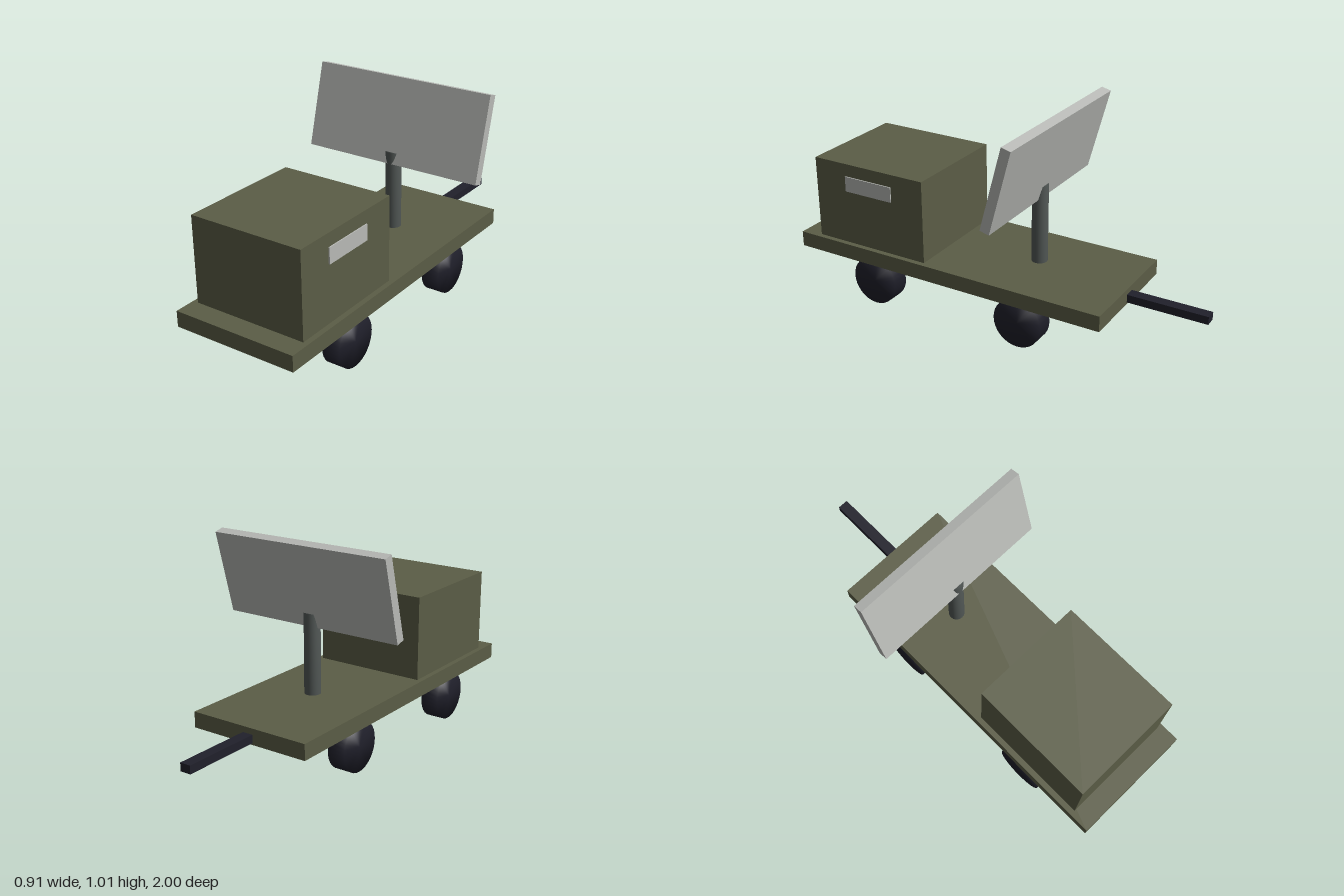
import * as THREE from 'three';
import { mergeVertices } from 'three/addons/utils/BufferGeometryUtils.js';

const paint = (name, color) => {
  const m = new THREE.MeshStandardMaterial({ color });
  m.name = name;
  return m;
};

// Cylinder whose normals run smoothly over the rim
function softCylinder(radius, length) {
  const g = new THREE.CylinderGeometry(radius, radius, length, 32);
  g.deleteAttribute('uv');
  g.deleteAttribute('normal');
  const soft = mergeVertices(g);
  soft.computeVertexNormals();
  return soft;
}

export function createModel() {
  const model = new THREE.Group();
  model.name = 'panelTrailer';
  const olive = paint('olive', 0x5b5d46);
  const black = paint('rubberBlack', 0x20202b);
  const lightGrey = paint('lightGrey', 0xb8bab6);
  const steel = paint('steelGrey', 0x525856);

  const add = (name, geometry, material, x, y, z) => {
    const mesh = new THREE.Mesh(geometry, material);
    mesh.name = name;
    mesh.position.set(x, y, z);
    model.add(mesh);
    return mesh;
  };
  const box = (name, material, w, h, d, x, y, z) =>
    add(name, new THREE.BoxGeometry(w, h, d), material, x, y, z);

  // Flat bed, equipment cabinet and drawbar
  box('deck', olive, 0.606, 0.075, 1.62, 0, 0.2405, 0.19);
  box('cabinet', olive, 0.555, 0.405, 0.607, 0, 0.48, 0.5965);
  box('drawbar', black, 0.052, 0.038, 0.4, 0, 0.231, -0.8);

  // Thin plate on the left side of the cabinet
  box('sidePlate', lightGrey, 0.008, 0.075, 0.26, 0.279, 0.583, 0.595);

  // Four wheels
  const wheelGeometry = softCylinder(0.119, 0.088).rotateZ(Math.PI / 2);
  for (const z of [0.572, -0.213]) {
    for (const side of [-1, 1]) add('wheel', wheelGeometry, black, side * 0.252, 0.119, z);
  }

  // Post carrying the panel, which leans backwards
  add('post', softCylinder(0.038, 0.38), steel, 0, 0.483, -0.163);
  const panel = box('panel', lightGrey, 0.912, 0.405, 0.047, 0, 0.81, -0.2015);
  panel.rotation.x = -THREE.MathUtils.degToRad(15);

  return model;
}
